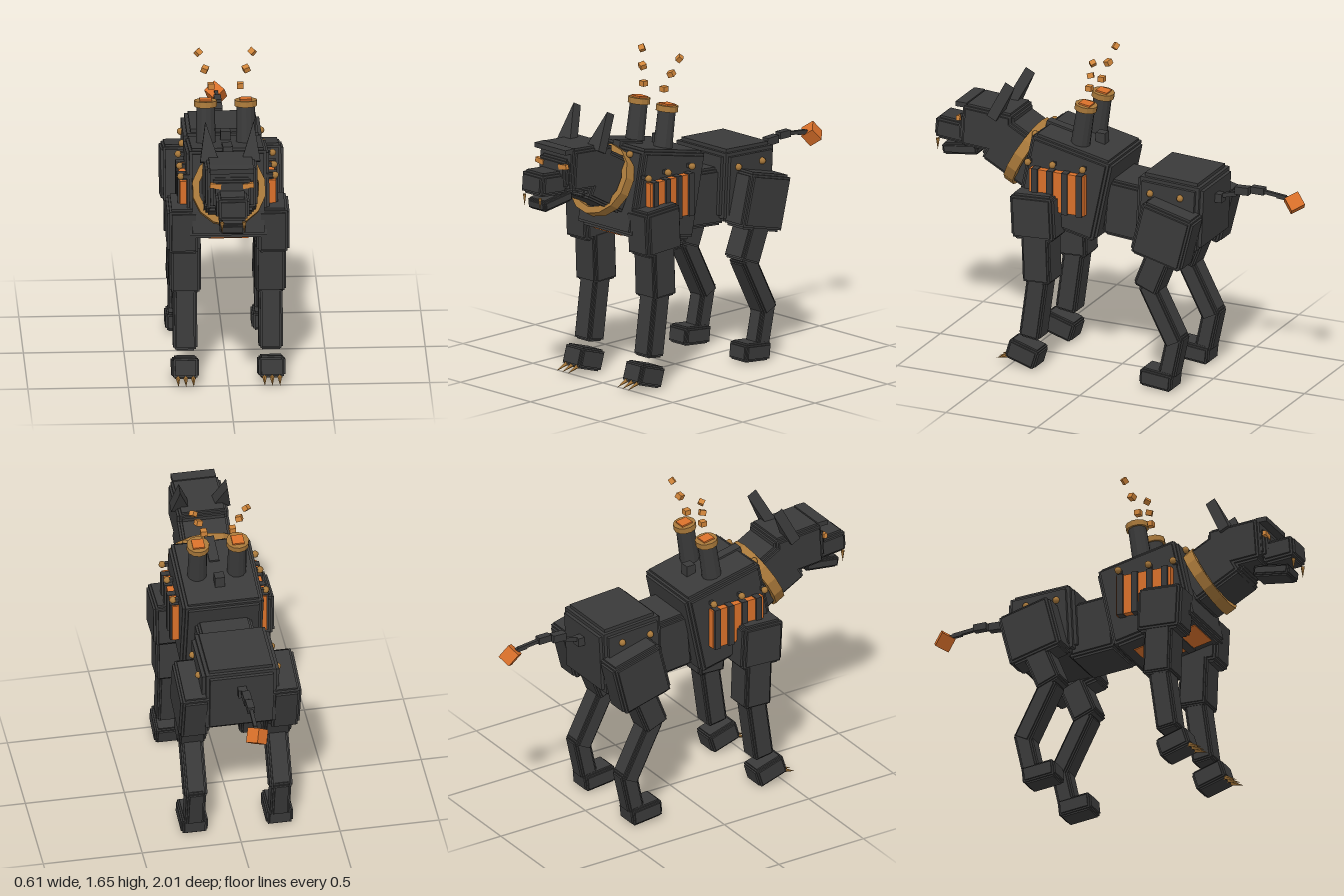
import * as THREE from 'three';

const mat = (name, color) => Object.assign(new THREE.MeshStandardMaterial({ color }), { name });

export function createModel() {
  const root = new THREE.Group();
  root.name = 'mechanicalHound';
  const iron = mat('dark iron', 0x3a3a3a);
  const brass = mat('brass', 0xa8783a);
  const glow = mat('furnace orange', 0xd9702a);
  const amber = mat('amber', 0xd0853a);

  const add = (parent, name, geo, m, pos = [0, 0, 0], rot = [0, 0, 0]) => {
    const mesh = new THREE.Mesh(geo, m);
    mesh.name = name;
    mesh.position.set(...pos);
    mesh.rotation.set(...rot);
    parent.add(mesh);
    return mesh;
  };
  const box = (parent, name, size, m, pos, rot) =>
    add(parent, name, new THREE.BoxGeometry(...size), m, pos, rot);

  // Armour block: three crossed boxes leave a raised panel on every face
  const block = (parent, name, [w, h, d], pos, rx = 0, b = 0.022) => {
    const g = new THREE.Group();
    g.name = name;
    g.position.set(...pos);
    g.rotation.x = rx;
    box(g, name + 'SidePanels', [w, h - 2 * b, d - 2 * b], iron);
    box(g, name + 'TopPanels', [w - 2 * b, h, d - 2 * b], iron);
    box(g, name + 'EndPanels', [w - 2 * b, h - 2 * b, d], iron);
    box(g, name + 'Core', [w - b, h - b, d - b], iron);
    parent.add(g);
    return g;
  };
  // Leg segment between two [y, z] points
  const limb = (parent, name, x, [y1, z1], [y2, z2], w, d) =>
    block(parent, name, [w, Math.hypot(y1 - y2, z1 - z2), d],
      [x, (y1 + y2) / 2, (z1 + z2) / 2], Math.atan2(z1 - z2, y1 - y2), 0.016);

  // Torso
  const chest = block(root, 'chest', [0.41, 0.45, 0.45], [0, 0.965, 0.235], -0.21, 0.026);
  block(root, 'waist', [0.285, 0.3, 0.26], [0, 0.87, -0.09], -0.08);
  block(root, 'hips', [0.39, 0.37, 0.36], [0, 0.915, -0.335], -0.05, 0.035);
  box(root, 'spineFin', [0.05, 0.08, 0.05], iron, [0, 1.18, 0.11]);
  box(root, 'spineRidge', [0.05, 0.05, 0.16], iron, [0, 1.2, 0.33], [-0.21, 0, 0]);

  // Furnace grate under the chest
  box(chest, 'bellyGlow', [0.2, 0.008, 0.34], glow, [0, -0.226, 0.02]);
  for (const z of [-0.07, 0.07])
    box(chest, 'bellyBar', [0.24, 0.02, 0.04], iron, [0, -0.227, z]);

  // Neck and brass collar
  block(root, 'neck', [0.26, 0.27, 0.28], [0, 1.08, 0.54], -0.5);
  block(root, 'throat', [0.2, 0.19, 0.2], [0, 1.08, 0.61], -0.45);
  const ring = [[0.15, -0.028], [0.185, -0.028], [0.185, 0.028], [0.15, 0.028], [0.15, -0.028]]
    .map(([r, y]) => new THREE.Vector2(r, y));
  const collarGeo = new THREE.LatheGeometry(ring, 14).toNonIndexed();
  collarGeo.computeVertexNormals();
  add(root, 'collar', collarGeo, brass, [0, 1.055, 0.505], [Math.PI / 2 - 0.5, 0, 0]);

  // Head
  block(root, 'skull', [0.26, 0.225, 0.28], [0, 1.175, 0.69], -0.07);
  block(root, 'face', [0.21, 0.15, 0.1], [0, 1.165, 0.81], -0.07);
  box(root, 'brow', [0.22, 0.025, 0.06], iron, [0, 1.285, 0.835]);
  block(root, 'snout', [0.165, 0.12, 0.18], [0, 1.125, 0.908], -0.08);
  block(root, 'jaw', [0.13, 0.06, 0.2], [0, 1.027, 0.865], 0.14, 0.014);

  // Ear: triangular prism leaning back
  const earShape = new THREE.Shape([[-0.05, 0], [0.045, 0], [0.015, 0.2]].map((p) => new THREE.Vector2(...p)));
  const earGeo = new THREE.ExtrudeGeometry(earShape, { depth: 0.055, bevelEnabled: false });
  earGeo.translate(0, 0, -0.0275);

  // Mirrored parts
  for (const s of [1, -1]) {
    const side = new THREE.Group();
    side.name = s > 0 ? 'leftSide' : 'rightSide';
    root.add(side);

    const earMesh = add(side, 'ear', earGeo, iron, [s * 0.105, 1.255, 0.65], [-0.46, 0, 0]);
    if (s < 0) earMesh.rotation.y = Math.PI, earMesh.rotation.x = 0.46 - 0.92 + 0.92;
    if (s < 0) earMesh.rotation.set(-0.46, Math.PI, 0, 'XYZ');
    box(side, 'eye', [0.055, 0.025, 0.02], amber, [s * 0.082, 1.207, 0.852], [0, 0, s * 0.12]);
    add(side, 'fang', new THREE.ConeGeometry(0.011, 0.06, 4), brass, [s * 0.055, 1.035, 0.988], [Math.PI, 0, 0]);

    // Smokestack with drifting embers
    const stack = new THREE.Group();
    stack.name = 'smokestack';
    stack.position.set(s * 0.1, 1.13, 0.19);
    stack.rotation.x = -0.15;
    side.add(stack);
    const cyl = (name, r1, r2, h, m, y) => {
      const geo = new THREE.CylinderGeometry(r1, r2, h, 12).toNonIndexed();
      geo.computeVertexNormals();
      add(stack, name, geo, m, [0, y, 0]);
    };
    cyl('stackPipe', 0.046, 0.05, 0.24, iron, 0.12);
    cyl('stackRim', 0.057, 0.057, 0.03, brass, 0.252);
    box(stack, 'stackGlow', [0.06, 0.008, 0.06], glow, [0, 0.271, 0]);
    [[0.073, 1.47, 0.147, 0.032], [0.103, 1.55, 0.126, 0.032], [0.134, 1.63, 0.1, 0.03]].forEach(([x, y, z, d], i) =>
      box(side, 'ember', [d, d * 0.85, d], amber, [s * x, y, z], [0.25 * i, s * 0.35 * i, s * 0.25 * i]));

    // Rib vents
    box(side, 'ventGlow', [0.05, 0.21, 0.3], glow, [s * 0.214, 0.955, 0.25]);
    for (const z of [0.368, 0.285, 0.205, 0.125])
      box(side, 'ventBar', [0.05, 0.22, 0.033], iron, [s * 0.224, 0.955, z]);
    const rivets = [[0.235, 1.09, 0.41], [0.235, 1.095, 0.275], [0.235, 1.095, 0.11],
      [0.2, 1.015, -0.245], [0.2, 1.015, -0.41], [0.115, 1.195, 0.425]];
    for (const [x, y, z] of rivets) {
      add(side, 'rivet', new THREE.SphereGeometry(0.018, 8, 6), brass, [s * x, y, z]);
      if (x > 0.21)
        box(side, 'rivetMount', [0.06, 0.02, 0.02], iron, [s * (x - 0.035), y, z]);
    }

    // Front leg
    block(side, 'shoulder', [0.165, 0.24, 0.24], [s * 0.222, 0.82, 0.36], 0.05);
    limb(side, 'frontUpperLeg', s * 0.212, [0.74, 0.35], [0.47, 0.34], 0.155, 0.155);
    limb(side, 'frontLowerLeg', s * 0.213, [0.49, 0.345], [0.165, 0.39], 0.12, 0.115);
    block(side, 'frontPaw', [0.135, 0.11, 0.17], [s * 0.215, 0.08, 0.425], -0.3, 0.016);
    for (const dx of [-0.038, 0, 0.038])
      add(side, 'claw', new THREE.ConeGeometry(0.014, 0.085, 4), brass,
        [s * 0.215 + dx, 0.045, 0.535], [Math.PI / 2 + 0.35, 0, 0]);

    // Hind leg
    block(side, 'thigh', [0.155, 0.29, 0.29], [s * 0.228, 0.83, -0.35], -0.25);
    limb(side, 'hindUpperLeg', s * 0.215, [0.73, -0.33], [0.53, -0.25], 0.145, 0.135);
    limb(side, 'hindMiddleLeg', s * 0.215, [0.56, -0.25], [0.25, -0.41], 0.115, 0.1);
    limb(side, 'hindLowerLeg', s * 0.215, [0.31, -0.41], [0.08, -0.36], 0.1, 0.095);
    block(side, 'hindPaw', [0.135, 0.095, 0.18], [s * 0.215, 0.06, -0.31], -0.1, 0.016);
  }

  // Tail: alternating thick and thin links ending in a glowing cube
  const links = [[0.975, -0.525, 0.045, 0.06, 0], [1.0, -0.593, 0.022, 0.08, 0.25], [1.032, -0.662, 0.04, 0.075, 0.05],
    [1.046, -0.748, 0.036, 0.07, 0], [1.037, -0.84, 0.018, 0.12, -0.1], [1.028, -0.885, 0.018, 0.07, -0.08]];
  for (const [y, z, t, len, rx] of links)
    box(root, 'tailLink', [t, t, len], iron, [0, y, z], [rx, 0, 0]);
  box(root, 'tailEmber', [0.07, 0.075, 0.075], glow, [0, 1.01, -0.945], [0.5, 0.7, 0.3]);

  return root;
}
